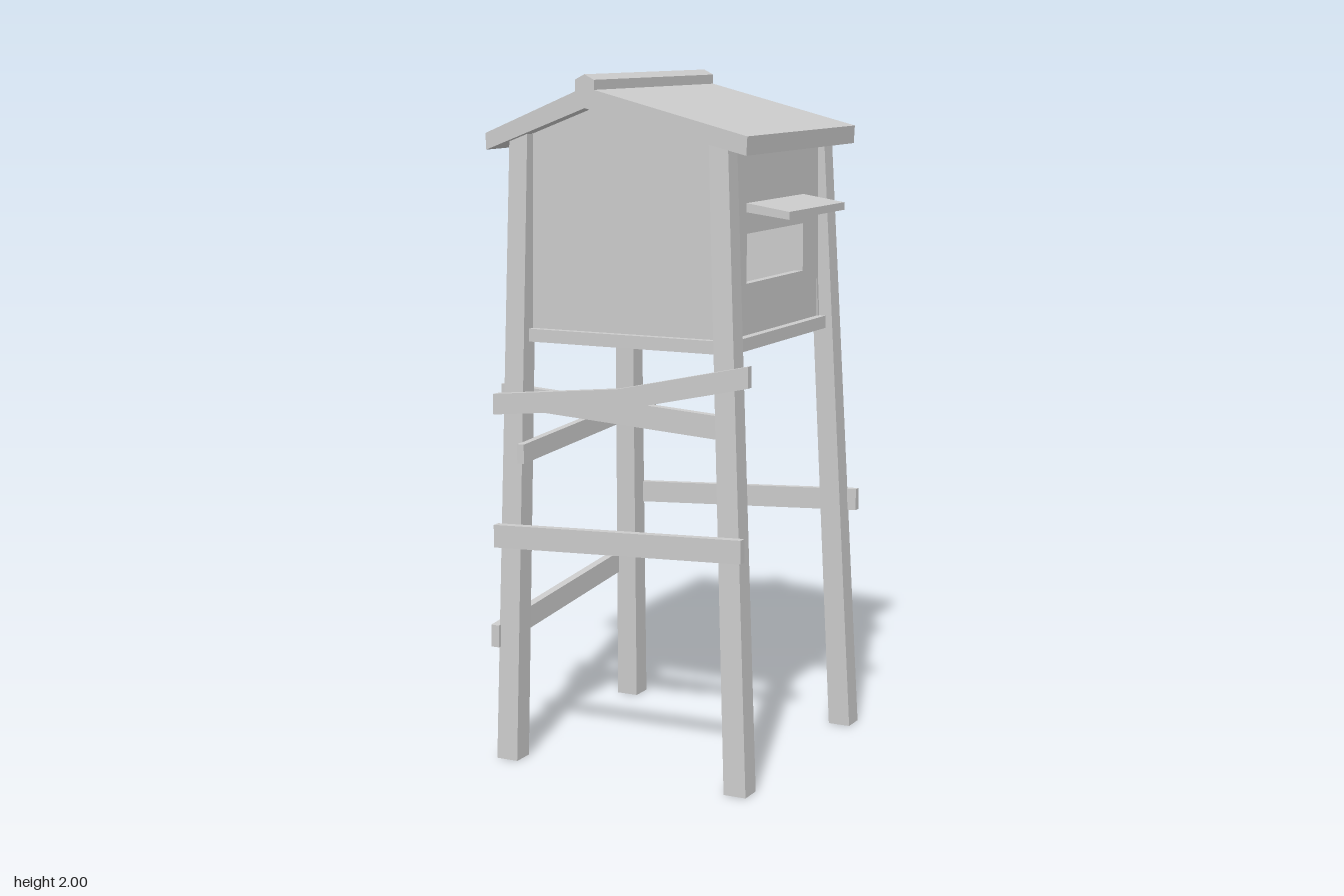
import * as THREE from 'three';

const material = new THREE.MeshStandardMaterial({ color: 0xcccccc, side: THREE.DoubleSide });

function add(group, name, geometry) {
  const mesh = new THREE.Mesh(geometry, material);
  mesh.name = name;
  group.add(mesh);
  return mesh;
}

// Box given by its limits on each axis
function block(group, name, [x0, x1], [y0, y1], [z0, z1]) {
  const geometry = new THREE.BoxGeometry(x1 - x0, y1 - y0, z1 - z0);
  geometry.translate((x0 + x1) / 2, (y0 + y1) / 2, (z0 + z1) / 2);
  return add(group, name, geometry);
}

// Board along x or z whose height follows a rule, with upright ends
function board(group, name, axis, from, to, across, thickness, height, centreY) {
  const length = to - from;
  const geometry = axis === 'x'
    ? new THREE.BoxGeometry(length, height, thickness, 2, 1, 1)
    : new THREE.BoxGeometry(thickness, height, length, 1, 1, 2);
  const mid = (from + to) / 2;
  geometry.translate(axis === 'x' ? mid : across, 0, axis === 'x' ? across : mid);
  const p = geometry.attributes.position;
  for (let i = 0; i < p.count; i++) {
    const along = axis === 'x' ? p.getX(i) : p.getZ(i);
    p.setY(i, p.getY(i) + centreY((along - from) / length));
  }
  geometry.computeVertexNormals();
  return add(group, name, geometry);
}

// Square post leaning from foot to head, with level ends
function post(group, name, foot, head, height) {
  const geometry = new THREE.BoxGeometry(1, height, 1);
  geometry.translate(0, height / 2, 0);
  const p = geometry.attributes.position;
  for (let i = 0; i < p.count; i++) {
    const t = p.getY(i) / height;
    const width = THREE.MathUtils.lerp(0.068, 0.058, t);
    p.setX(i, p.getX(i) * width + THREE.MathUtils.lerp(foot[0], head[0], t));
    p.setZ(i, p.getZ(i) * width + THREE.MathUtils.lerp(foot[1], head[1], t));
  }
  geometry.computeVertexNormals();
  return add(group, name, geometry);
}

// Outline in x and y, extruded from z0 to z1
function profile(group, name, points, z0, z1) {
  const shape = new THREE.Shape(points.map(([x, y]) => new THREE.Vector2(x, y)));
  const geometry = new THREE.ExtrudeGeometry(shape, { depth: z1 - z0, bevelEnabled: false });
  geometry.translate(0, 0, z0);
  return add(group, name, geometry);
}

export function createModel() {
  const tower = new THREE.Group();
  tower.name = 'watchtower';

  // Legs
  const legs = new THREE.Group();
  legs.name = 'legs';
  tower.add(legs);
  post(legs, 'frontRightLeg', [-0.37, 0.377], [-0.338, 0.33], 1.83);
  post(legs, 'backRightLeg', [-0.37, -0.377], [-0.355, -0.328], 1.83);
  post(legs, 'frontLeftLeg', [0.371, 0.377], [0.29, 0.33], 1.82);
  post(legs, 'backLeftLeg', [0.371, -0.377], [0.29, -0.328], 1.82);

  // Crooked braces between the legs
  const braces = new THREE.Group();
  braces.name = 'braces';
  tower.add(braces);
  const slope = (a, b) => (t) => a + (b - a) * t;
  board(braces, 'frontLowerBrace', 'x', -0.4, 0.39, 0.407, 0.026, 0.067, slope(0.672, 0.705));
  board(braces, 'frontUpperBrace', 'x', -0.403, 0.405, 0.397, 0.024, 0.06,
    (t) => t < 0.5 ? 1.058 + 0.084 * t : 1.1 + 0.18 * (t - 0.5));
  board(braces, 'frontInnerBrace', 'x', -0.43, 0.3, 0.304, 0.026, 0.067, slope(1.07, 1.025));
  board(braces, 'backLowerBrace', 'x', -0.4, 0.4, -0.396, 0.022, 0.065, slope(0.66, 0.705));
  board(braces, 'sideLowerBrace', 'z', -0.415, 0.41, -0.406, 0.026, 0.066, slope(0.445, 0.37));
  board(braces, 'sideUpperBrace', 'z', -0.415, 0.41, -0.313, 0.022, 0.056, slope(0.96, 0.92));

  // Cabin: two gabled walls, a plain side wall and one with a window
  const cabin = new THREE.Group();
  cabin.name = 'cabin';
  tower.add(cabin);
  const gable = [[-0.34, 1.25], [0.305, 1.25], [0.285, 1.81], [-0.11, 1.91], [-0.34, 1.82]];
  profile(cabin, 'frontWall', gable, 0.3, 0.325);
  profile(cabin, 'backWall', gable, -0.325, -0.3);
  block(cabin, 'plainSideWall', [-0.34, -0.315], [1.25, 1.82], [-0.31, 0.31]);

  const wall = new THREE.Shape();
  wall.moveTo(-0.31, 1.25).lineTo(0.31, 1.25).lineTo(0.31, 1.81).lineTo(-0.31, 1.81);
  const opening = new THREE.Path();
  opening.moveTo(-0.195, 1.42).lineTo(-0.195, 1.56).lineTo(0.195, 1.56).lineTo(0.195, 1.42);
  wall.holes.push(opening);
  const windowWall = new THREE.ExtrudeGeometry(wall, { depth: 0.025, bevelEnabled: false });
  windowWall.rotateY(Math.PI / 2);
  windowWall.translate(0.275, 0, 0);
  add(cabin, 'windowWall', windowWall);

  block(cabin, 'floor', [-0.34, 0.3], [1.258, 1.275], [-0.32, 0.32]);

  // Sill beams around the cabin foot
  for (const side of [-1, 1]) {
    const z = side * 0.328;
    block(cabin, 'sillBeam', [-0.34, 0.31], [1.238, 1.275], [z - 0.02, z + 0.02]);
  }
  for (const x of [-0.338, 0.305]) {
    block(cabin, 'sillBeam', [x - 0.02, x + 0.02], [1.238, 1.275], [-0.33, 0.33]);
  }

  // Sloping awning above the window
  profile(cabin, 'awning', [[0.285, 1.622], [0.43, 1.604], [0.43, 1.626], [0.285, 1.648]], -0.195, 0.197);

  // Lopsided roof and its ridge beam
  const roof = new THREE.Group();
  roof.name = 'roof';
  tower.add(roof);
  profile(roof, 'roofSlab', [
    [-0.43, 1.785], [-0.11, 1.907], [0.385, 1.788], [0.388, 1.84], [-0.11, 1.965], [-0.432, 1.832],
  ], -0.37, 0.383);
  profile(roof, 'ridgeBeam', [
    [-0.14, 1.94], [-0.08, 1.94], [-0.08, 1.985], [-0.11, 2], [-0.14, 1.985],
  ], -0.37, 0.383);

  return tower;
}
